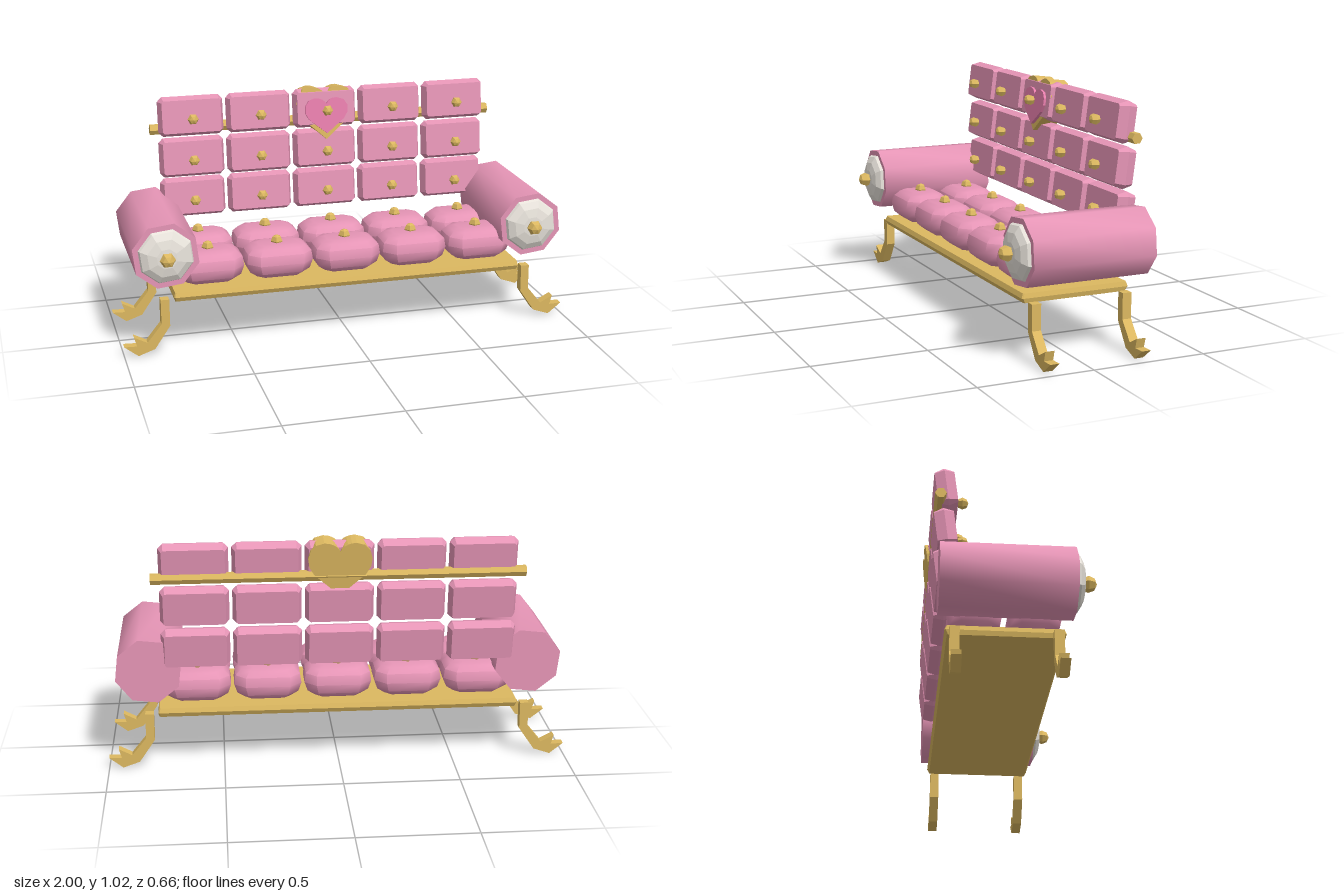
import * as THREE from 'three';
import { toCreasedNormals } from 'three/addons/utils/BufferGeometryUtils.js';

const mat = (color, flatShading = false) => new THREE.MeshStandardMaterial({ color, flatShading });
const pink = mat(0xe695b6), pinkFlat = mat(0xe695b6, true), heartPink = mat(0xe87fad, true);
const gold = mat(0xdcb860, true), white = mat(0xe9e4dc, true);

// Solid lofted through chamfered rectangles; each section is [z, width, height, chamfer]
function loft(sections) {
  const pos = [], idx = [], n = 8, last = (sections.length - 1) * n;
  for (const [z, w, h, c] of sections) {
    const x = w / 2, y = h / 2;
    for (const [px, py] of [[x, -y + c], [x, y - c], [x - c, y], [-x + c, y],
      [-x, y - c], [-x, -y + c], [-x + c, -y], [x - c, -y]]) pos.push(px, py, z);
  }
  for (let i = 0; i < sections.length - 1; i++) {
    for (let j = 0; j < n; j++) {
      const a = i * n + j, b = i * n + (j + 1) % n;
      idx.push(a, b, b + n, a, b + n, a + n);
    }
  }
  for (let j = 1; j < n - 1; j++) idx.push(0, j + 1, j, last, last + j, last + j + 1);
  const g = new THREE.BufferGeometry();
  g.setAttribute('position', new THREE.Float32BufferAttribute(pos, 3));
  g.setIndex(idx);
  g.computeVertexNormals();
  return g;
}

// Heart outline from tip (y = 0) to lobes (y = h)
function heartShape(w, h) {
  const s = new THREE.Shape();
  s.moveTo(0, 0);
  s.lineTo(w * 0.4, h * 0.4);
  s.bezierCurveTo(w * 0.58, h * 0.62, w * 0.5, h, w * 0.25, h);
  s.bezierCurveTo(w * 0.12, h, w * 0.03, h * 0.93, 0, h * 0.83);
  s.bezierCurveTo(-w * 0.03, h * 0.93, -w * 0.12, h, -w * 0.25, h);
  s.bezierCurveTo(-w * 0.5, h, -w * 0.58, h * 0.62, -w * 0.4, h * 0.4);
  s.closePath();
  return s;
}

export function createModel() {
  const model = new THREE.Group();
  const add = (name, geo, material, x, y, z, parent = model) => {
    const m = new THREE.Mesh(geo, material);
    m.name = name;
    m.position.set(x, y, z);
    parent.add(m);
    return m;
  };
  const lean = -0.13;

  // Base board with bevelled edges
  const base = loft([[0, 1.55, 0.46, 0.005], [0.02, 1.56, 0.48, 0.005], [0.04, 1.55, 0.465, 0.005]]).rotateX(-Math.PI / 2);
  add('baseBoard', base, gold, 0, 0.24, -0.032);

  // Tufted cushions in five columns
  const backGeo = loft([[-0.041, 0.262, 0.145, 0.008], [0, 0.292, 0.176, 0.02], [0.041, 0.262, 0.145, 0.008]]);
  const seatGeo = toCreasedNormals(loft([
    [0, 0.2, 0.14, 0.03], [0.025, 0.265, 0.2, 0.045], [0.065, 0.292, 0.218, 0.05],
    [0.105, 0.28, 0.2, 0.045], [0.128, 0.23, 0.155, 0.035], [0.136, 0.17, 0.1, 0.025],
  ]).rotateX(-Math.PI / 2), 0.9);
  const buttonGeo = new THREE.SphereGeometry(0.025, 6, 4).rotateX(Math.PI / 2);
  const seatButtonGeo = new THREE.SphereGeometry(0.027, 5, 4);
  for (let i = -2; i <= 2; i++) {
    const x = i * 0.305;
    for (const y of [0.93, 0.743, 0.558]) {
      add('backCushion', backGeo, pinkFlat, x, y, -0.271).rotation.x = lean;
      add('backButton', buttonGeo, gold, x, y, -0.197);
    }
    for (const z of [0.09, -0.15]) {
      add('seatCushion', seatGeo, pink, x, 0.295, z);
      add('seatButton', seatButtonGeo, gold, x, 0.436, z - 0.005);
    }
  }

  // Rail behind the back cushions
  add('backRail', new THREE.CylinderGeometry(0.024, 0.024, 1.58, 6).rotateZ(Math.PI / 2), gold, 0, 0.87, -0.295);

  // Heart ornament: thick gold heart through the cushion, thin pink heart on its front
  const goldHeart = new THREE.ExtrudeGeometry(heartShape(0.27, 0.238), { depth: 0.09, bevelEnabled: false, curveSegments: 5 });
  add('goldHeart', goldHeart, gold, 0, 0.782, -0.305).rotation.x = lean;
  const pinkHeart = new THREE.ExtrudeGeometry(heartShape(0.2, 0.16), { depth: 0.022, bevelEnabled: false, curveSegments: 4 });
  add('pinkHeart', pinkHeart, heartPink, 0, 0.82, -0.226).rotation.x = lean;

  // Bolster arms with domed end caps and knobs
  const bolsterGeo = toCreasedNormals(new THREE.CylinderGeometry(0.146, 0.146, 0.54, 8)
    .rotateX(Math.PI / 2).rotateZ(0.51), 1);
  const domeGeo = new THREE.LatheGeometry([[0.122, 0], [0.115, 0.014], [0.085, 0.031], [0.045, 0.039], [0, 0.041]]
    .map(([r, y]) => new THREE.Vector2(r, y)), 8).rotateX(Math.PI / 2).rotateZ(0.51);
  const knobGeo = new THREE.SphereGeometry(0.034, 6, 4).rotateX(Math.PI / 2);

  // Scrolled leg outline, turning outward
  const legShape = new THREE.Shape([
    [0.8, 0.25], [0.8, 0.13], [0.868, 0.03], [0.94, 0.005], [1, 0.052], [0.945, 0.05],
    [0.957, 0.092], [0.9, 0.062], [0.837, 0.14], [0.837, 0.25],
  ].map(([x, y]) => new THREE.Vector2(x, y)));
  const legGeo = new THREE.ExtrudeGeometry(legShape, { depth: 0.04, bevelEnabled: false }).translate(0, 0, -0.02);

  for (const [side, s] of [['left', 1], ['right', -1]]) {
    const arm = new THREE.Group();
    arm.name = side + 'Arm';
    arm.position.set(s * 0.814, 0.463, 0);
    model.add(arm);
    add('bolster', bolsterGeo, pink, 0, 0, -0.03, arm);
    add('endCap', domeGeo, white, 0, 0, 0.239, arm);
    add('endKnob', knobGeo, gold, 0, 0, 0.293, arm);
    for (const [end, z] of [['Front', 0.172], ['Back', -0.235]]) {
      add(side + end + 'Leg', legGeo, gold, 0, 0, z).rotation.y = s > 0 ? 0 : Math.PI;
    }
  }
  return model;
}
